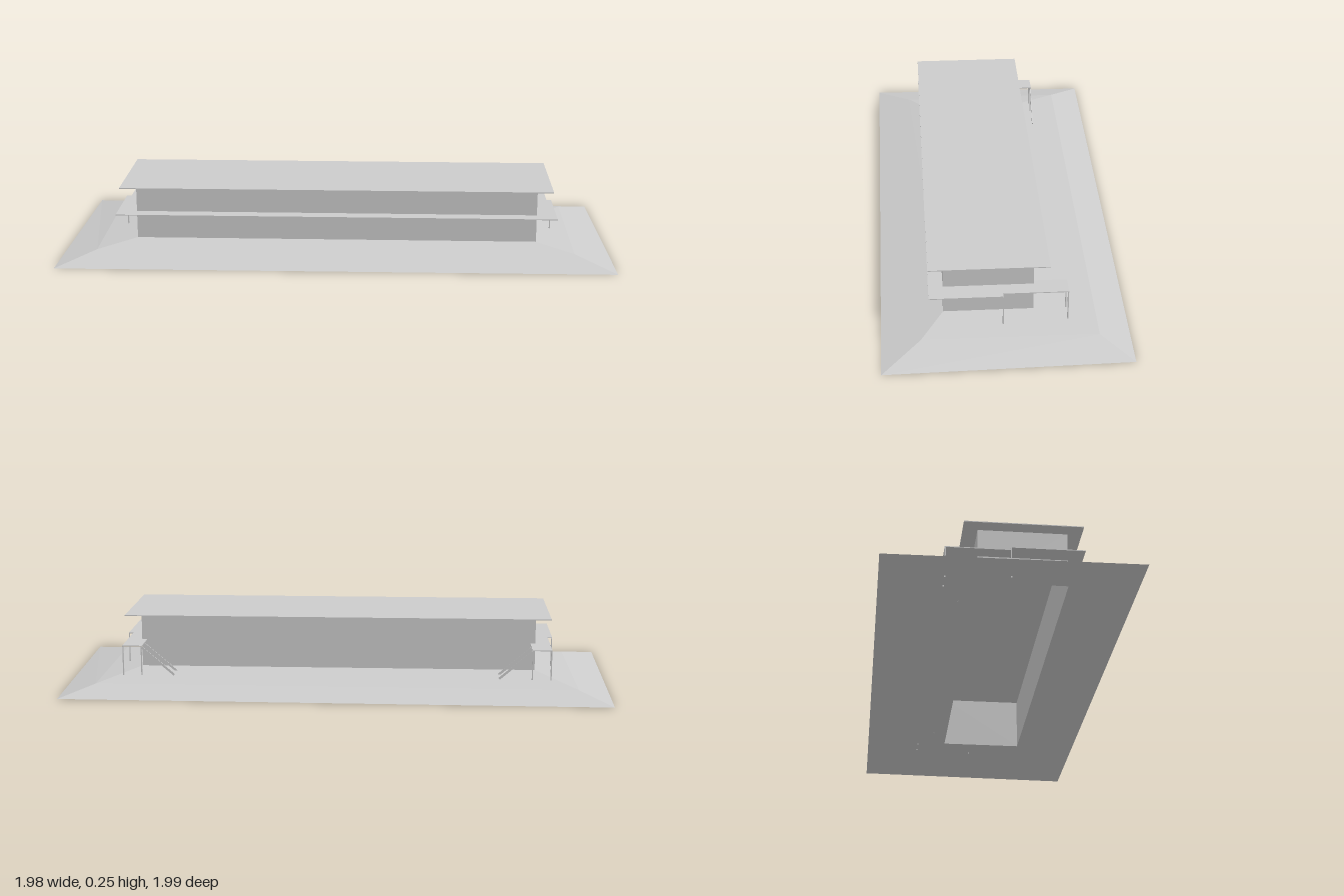
import * as THREE from 'three';

export function createModel() {
  const model = new THREE.Group();
  model.name = 'pavilionOnMound';
  // Local x runs along the building; the whole plan is turned diagonally.
  const plan = new THREE.Group();
  plan.name = 'plan';
  plan.rotation.y = -Math.PI / 4;
  model.add(plan);

  const grey = new THREE.MeshStandardMaterial({ color: 0xcccccc, side: THREE.DoubleSide });
  grey.name = 'lightGrey';

  const add = (name, geometry, parent = plan) => {
    const mesh = new THREE.Mesh(geometry, grey);
    mesh.name = name;
    parent.add(mesh);
    return mesh;
  };

  // Box given by its extents
  const box = (name, x0, x1, y0, y1, z0, z1, parent) => {
    const mesh = add(name, new THREE.BoxGeometry(x1 - x0, y1 - y0, z1 - z0), parent);
    mesh.position.set((x0 + x1) / 2, (y0 + y1) / 2, (z0 + z1) / 2);
    return mesh;
  };

  // Flat-faced band joining four-cornered rings, each { y, corners }
  const bands = (rings) => {
    const pos = [];
    for (let r = 0; r + 1 < rings.length; r++) {
      const at = (ring, i) => [ring.corners[i % 4][0], ring.y, ring.corners[i % 4][1]];
      for (let i = 0; i < 4; i++) {
        const a = at(rings[r], i), b = at(rings[r], i + 1);
        const c = at(rings[r + 1], i), d = at(rings[r + 1], i + 1);
        pos.push(...a, ...c, ...b, ...b, ...c, ...d);
      }
    }
    const g = new THREE.BufferGeometry();
    g.setAttribute('position', new THREE.Float32BufferAttribute(pos, 3));
    g.computeVertexNormals();
    return g;
  };

  const footprint = [[-0.725, -0.106], [0.725, -0.106], [0.725, 0.198], [-0.725, 0.198]];

  // Two-slope earth mound, open under the building
  add('mound', bands([
    { y: 0, corners: [[-0.979, -0.436], [0.976, -0.421], [0.995, 0.407], [-0.991, 0.414]] },
    { y: 0.031, corners: [[-0.866, -0.322], [0.859, -0.315], [0.856, 0.276], [-0.859, 0.286]] },
    { y: 0.05, corners: footprint },
  ]));

  // Hollow walls and overhanging flat roof
  add('walls', bands([{ y: 0.05, corners: footprint }, { y: 0.249, corners: footprint }]));
  box('roof', -0.778, 0.778, 0.247, 0.25, -0.156, 0.247);

  // Gallery along one long side
  const t0 = 0.147, t1 = 0.15;
  box('sideGallery', -0.725, 0.725, t0, t1, 0.198, 0.247);

  // End galleries, landings, posts and stairs, mirrored at both ends
  for (const s of [-1, 1]) {
    const end = new THREE.Group();
    end.name = s > 0 ? 'frontEnd' : 'backEnd';
    plan.add(end);
    const part = (name, x0, x1, y0, y1, z0, z1) =>
      box(name, Math.min(s * x0, s * x1), Math.max(s * x0, s * x1), y0, y1, z0, z1, end);

    part('endGalleryWide', 0.725, 0.795, t0, t1, 0, 0.247);
    part('endGalleryNarrow', 0.725, 0.778, t0, t1, -0.106, 0);
    part('landing', 0.707, 0.778, t0, t1, -0.219, -0.106);

    for (const [x, z] of [[0.793, 0], [0.776, -0.217], [0.709, -0.217]]) {
      part('post', x - 0.002, x + 0.002, 0.035, t0, z - 0.002, z + 0.002);
    }

    // Slanted stair stringers
    const run = 0.117, rise = 0.1;
    for (const z of [-0.217, -0.158]) {
      const stringer = add('stairStringer', new THREE.BoxGeometry(Math.hypot(run, rise), 0.008, 0.003), end);
      stringer.position.set(s * (0.707 - run / 2), 0.093, z);
      stringer.rotation.z = s * Math.atan2(rise, run);
    }
  }
  return model;
}
